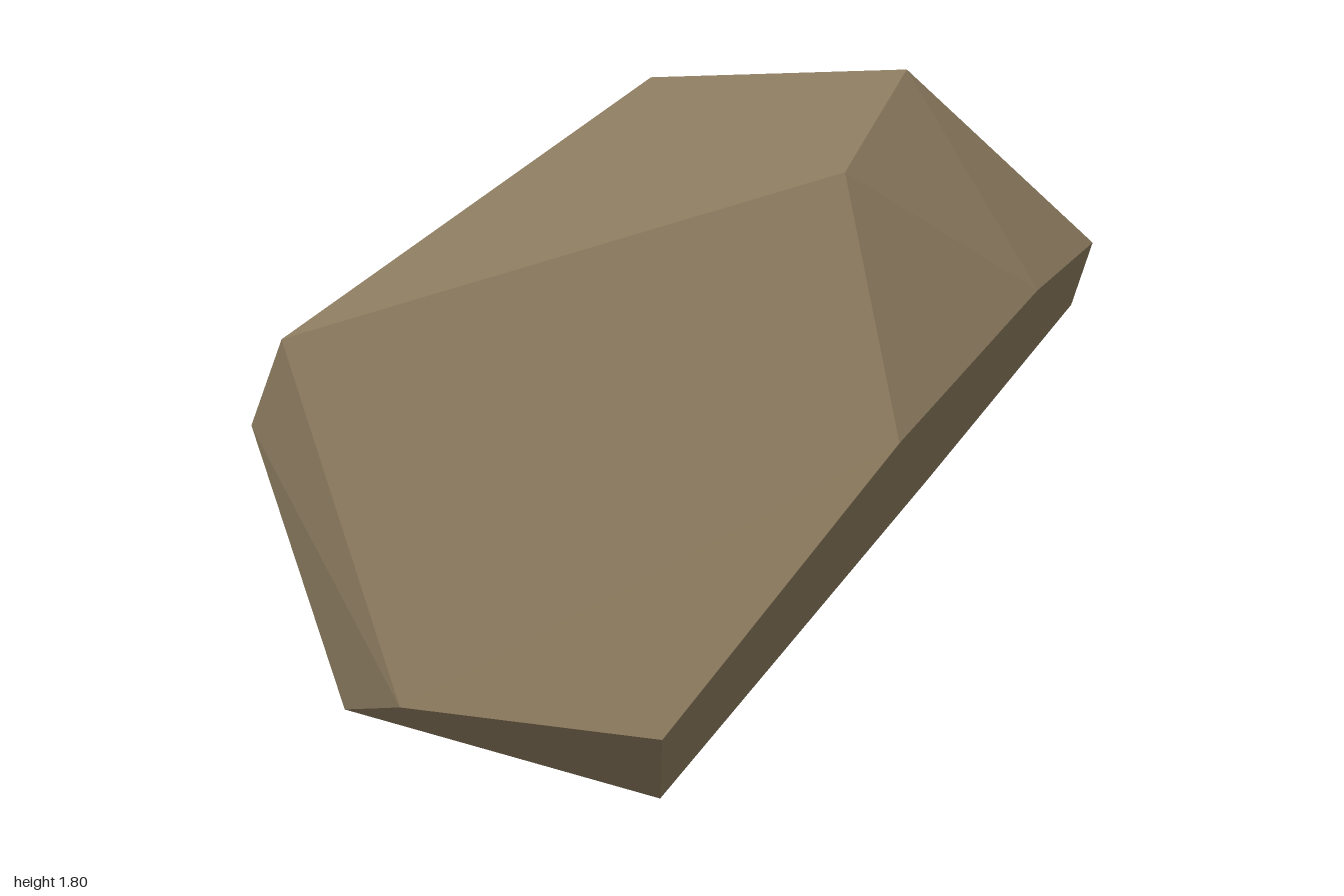
import * as THREE from 'three';
import { ConvexGeometry } from 'three/addons/geometries/ConvexGeometry.js';

export function createModel() {
  const model = new THREE.Group();
  model.name = 'rock';

  const stone = new THREE.MeshStandardMaterial({ color: 0x8b7a5e });
  stone.name = 'brown stone';

  // Corners of the faceted boulder
  const corners = [
    // crown
    [0.30, 1.80, 0.21], [0.04, 1.67, 0.66], [-0.02, 1.685, -0.72], [-0.94, 1.25, -0.09],
    // front and left shoulder
    [0.09, 1.20, 0.86], [0.45, 1.415, 0.59], [0.71, 1.43, 0.21], [1.00, 1.115, -0.65],
    // back and right shoulder
    [0.75, 1.095, -0.86], [-0.24, 0.68, -0.755], [-0.63, 1.065, -0.62], [-1.00, 1.04, -0.22],
    // underside and lowest point
    [-0.85, 0.47, 0.005], [-0.77, 0.57, 0.30], [-0.32, 0.60, 0.69], [0.68, 0.67, -0.76],
    [-0.06, 0, -0.50],
  ].map((p) => new THREE.Vector3(...p));

  // Flat facets stretched over the corners
  const boulder = new THREE.Mesh(new ConvexGeometry(corners), stone);
  boulder.name = 'boulder';
  model.add(boulder);
  return model;
}
